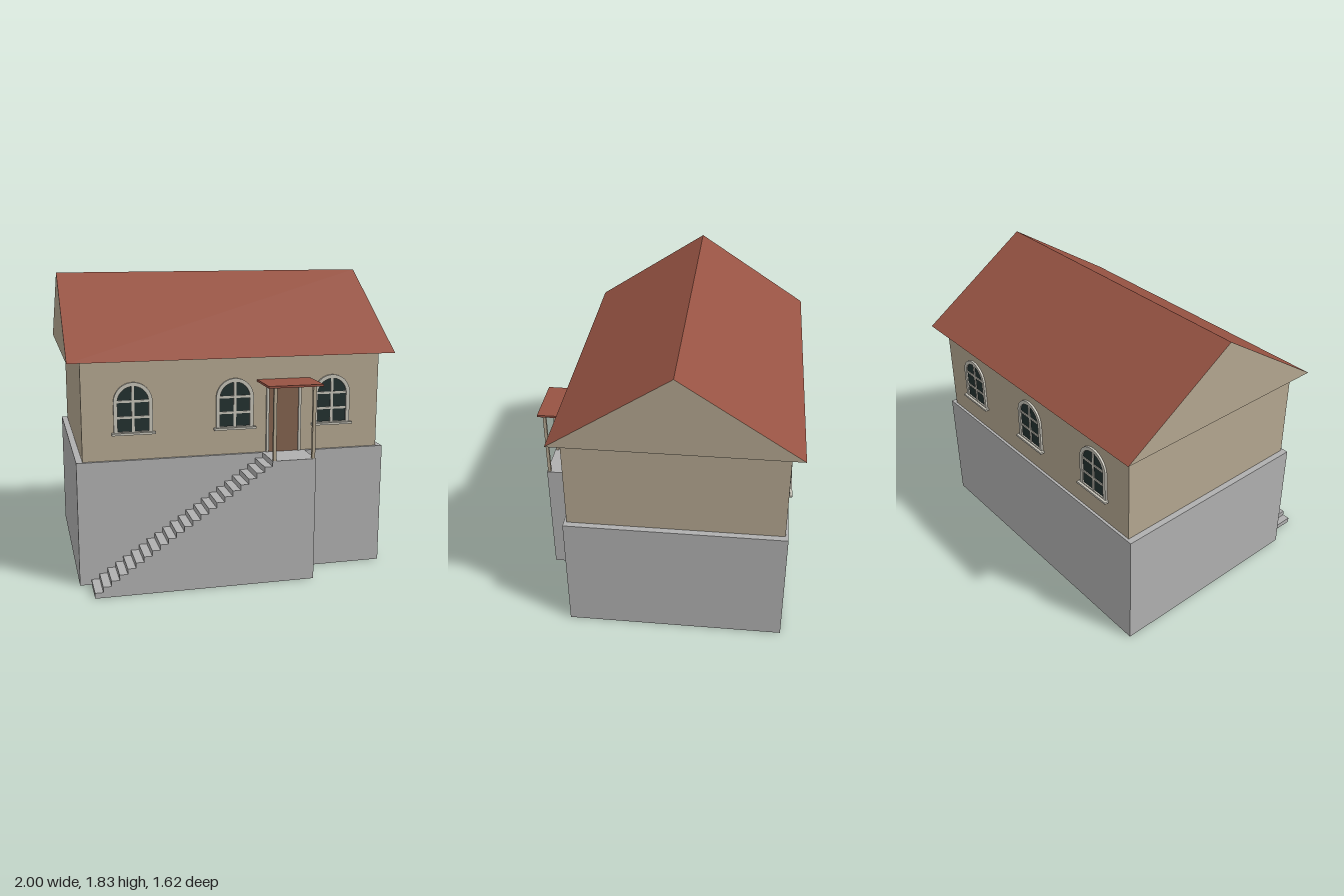
import * as THREE from 'three';

const mat = (name, color, side = THREE.FrontSide) => {
  const m = new THREE.MeshStandardMaterial({ color, side });
  m.name = name;
  return m;
};

export function createModel() {
  const model = new THREE.Group();
  model.name = 'house';

  const concrete = mat('concrete grey', 0xb0b0b0, THREE.DoubleSide);
  const plaster = mat('plaster tan', 0xb4a790);
  const roofRed = mat('roof red', 0x975343);
  const frameMat = mat('frame light grey', 0xc6c3b8);
  const glassMat = mat('glass dark', 0x22302f);
  const doorMat = mat('door brown', 0x82624e);

  const add = (name, geo, material, parent = model) => {
    const mesh = new THREE.Mesh(geo, material);
    mesh.name = name;
    parent.add(mesh);
    return mesh;
  };

  // Box given by its minimum and maximum corners
  const boxGeo = (x0, x1, y0, y1, z0, z1) =>
    new THREE.BoxGeometry(x1 - x0, y1 - y0, z1 - z0)
      .translate((x0 + x1) / 2, (y0 + y1) / 2, (z0 + z1) / 2);

  // Same box without its underside
  const openBoxGeo = (...c) => {
    const g = boxGeo(...c);
    const idx = Array.from(g.index.array);
    idx.splice(18, 6);
    g.setIndex(idx);
    g.clearGroups();
    return g;
  };

  const polygon = (pts) => new THREE.Shape(pts.map(([x, y]) => new THREE.Vector2(x, y)));
  const extrude = (shape, depth, z = 0) =>
    new THREE.ExtrudeGeometry(shape, { depth, bevelEnabled: false, curveSegments: 12 }).translate(0, 0, z);

  const FLOOR = 0.76, EAVE = 1.357, FRONT = 0.565, BACK = -0.735;

  // Basement, open underneath, and the storey above it
  add('basement', openBoxGeo(-0.96, 0.96, 0, FLOOR, -0.752, 0.582), concrete);
  add('walls', boxGeo(-0.922, 0.922, FLOOR, EAVE, BACK, FRONT), plaster);

  // Gabled roof with plastered ends
  const roof = extrude(polygon([[-0.808, EAVE], [0.633, EAVE], [-0.087, 1.833]]), 2)
    .rotateY(-Math.PI / 2).translate(1, 0, 0);
  add('roof', roof, [plaster, roofRed]);

  // Staircase rising along the front to the landing
  const STEPS = 22, x0 = -0.89, x1 = 0.175;
  const run = (x1 - x0) / STEPS, rise = FLOOR / (STEPS + 1);
  const profile = [[x0, 0]];
  for (let i = 0; i < STEPS; i++) {
    profile.push([x0 + i * run, (i + 1) * rise], [x0 + (i + 1) * run, (i + 1) * rise]);
  }
  profile.push([x1, 0]);
  add('stairs', extrude(polygon(profile), 0.225, 0.567), concrete);
  add('landing', openBoxGeo(x1, 0.445, 0, FLOOR, 0.567, 0.792), concrete);

  // Porch canopy on two posts
  add('canopy', boxGeo(0.14, 0.475, 1.2, 1.213, FRONT, 0.811), roofRed);
  for (const x of [0.18, 0.422]) {
    add('canopyPost', boxGeo(x, x + 0.019, FLOOR, 1.2, 0.767, 0.786), plaster);
  }

  // Door and its surround
  add('door', boxGeo(0.214, 0.402, FLOOR, 1.156, FRONT, FRONT + 0.006), doorMat);
  const surround = polygon([
    [0.198, FLOOR], [0.214, FLOOR], [0.214, 1.156], [0.402, 1.156],
    [0.402, FLOOR], [0.418, FLOOR], [0.418, 1.174], [0.198, 1.174],
  ]);
  add('doorFrame', extrude(surround, 0.015, FRONT), frameMat);

  // Arched outline standing on y = bottom, with its arch centred at y = 0.185
  const archPath = (path, r, bottom) => {
    path.moveTo(-r, bottom);
    path.lineTo(r, bottom);
    path.lineTo(r, 0.185);
    path.absarc(0, 0.185, r, 0, Math.PI, false);
    path.lineTo(-r, bottom);
    return path;
  };
  const frameShape = archPath(new THREE.Shape(), 0.116, 0);
  frameShape.holes.push(archPath(new THREE.Path(), 0.093, 0.008));
  const frameGeo = extrude(frameShape, 0.013);
  const glassGeo = extrude(archPath(new THREE.Shape(), 0.094, 0.006), 0.004);
  const sillGeo = boxGeo(-0.13, 0.13, -0.011, 0.002, 0, 0.028);
  const mullionGeo = boxGeo(-0.008, 0.008, 0.006, 0.28, 0.002, 0.009);
  const barGeo = boxGeo(-0.094, 0.094, -0.007, 0.007, 0.002, 0.009);

  const addWindow = (x, z, turn) => {
    const w = new THREE.Group();
    w.name = 'window';
    add('windowFrame', frameGeo, frameMat, w);
    add('windowGlass', glassGeo, glassMat, w);
    add('windowSill', sillGeo, frameMat, w);
    add('windowMullion', mullionGeo, frameMat, w);
    for (const y of [0.092, 0.188]) add('windowBar', barGeo, frameMat, w).position.y = y;
    w.position.set(x, 0.926, z);
    w.rotation.y = turn;
    model.add(w);
  };
  for (const x of [-0.618, 0, 0.618]) {
    addWindow(x, FRONT, 0);
    addWindow(x, BACK, Math.PI);
  }

  return model;
}
